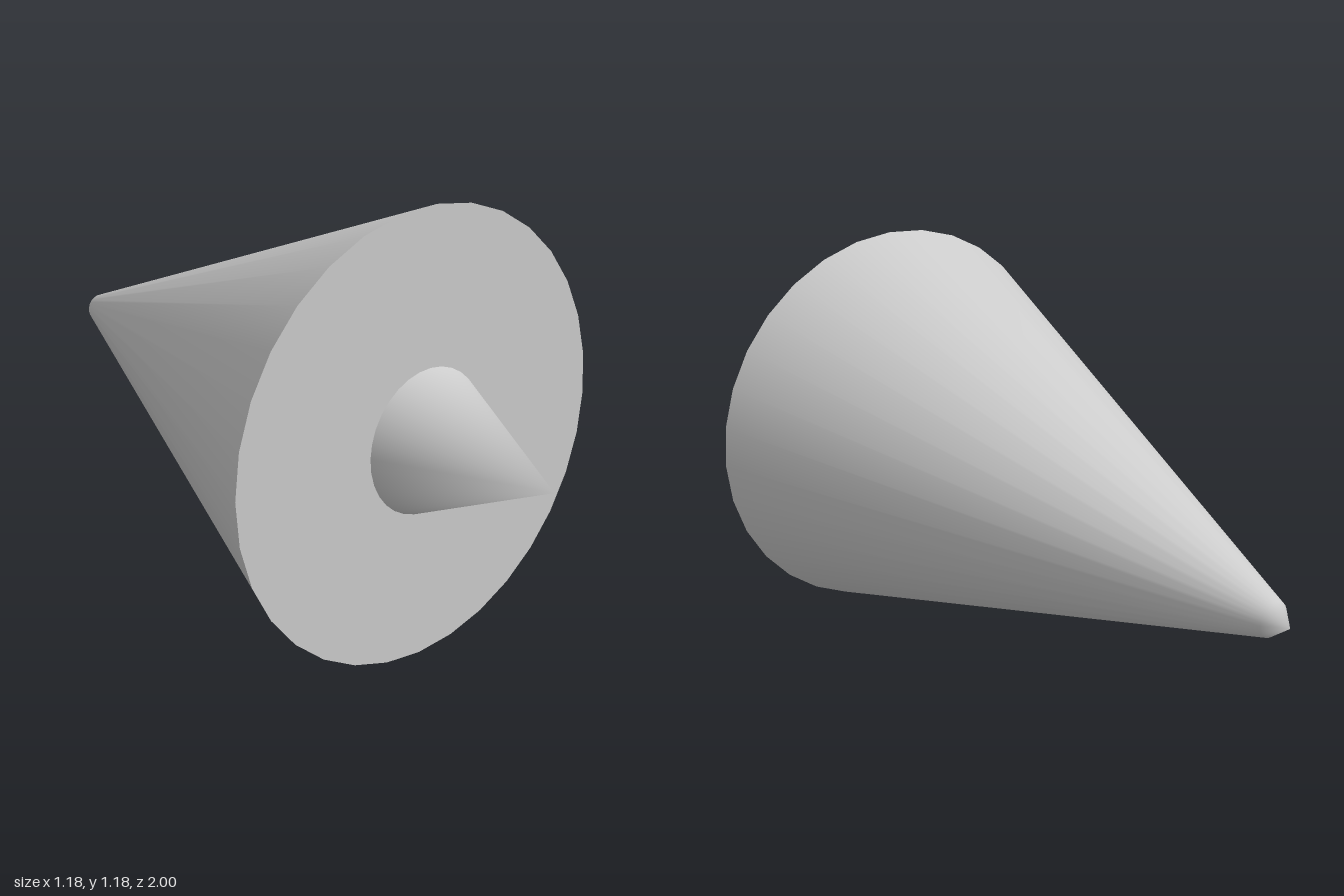
import * as THREE from 'three';

const SIDES = 32;
const AXIS_HEIGHT = 0.59;

// Revolve [radius, z] points (back to front) about the z axis, with smooth tips.
function revolve(profile) {
  const points = profile.map(([r, z]) => new THREE.Vector2(r, z));
  const geometry = new THREE.LatheGeometry(points, SIDES);
  geometry.rotateX(Math.PI / 2);
  const p = geometry.attributes.position;
  const n = geometry.attributes.normal;
  for (let i = 0; i < p.count; i++) {
    if (Math.hypot(p.getX(i), p.getY(i)) < 1e-4) n.setXYZ(i, 0, 0, Math.sign(p.getZ(i)));
  }
  return geometry;
}

export function createModel() {
  const group = new THREE.Group();
  const material = new THREE.MeshStandardMaterial({ color: 0xcccccc });

  function add(name, geometry, z = 0) {
    const mesh = new THREE.Mesh(geometry, material);
    mesh.name = name;
    mesh.position.set(0, AXIS_HEIGHT, z);
    group.add(mesh);
  }

  // Long shell tapering to a small blunted tip at the back
  add('outerCone', revolve([[0, -1], [0.045, -0.95], [0.59, 0.6]]));

  // Flat front face around the small cone
  add('frontFace', new THREE.RingGeometry(0.19, 0.59, SIDES), 0.6);

  // Small pointed cone projecting forward
  add('frontCone', revolve([[0.19, 0.6], [0, 1]]));

  return group;
}
